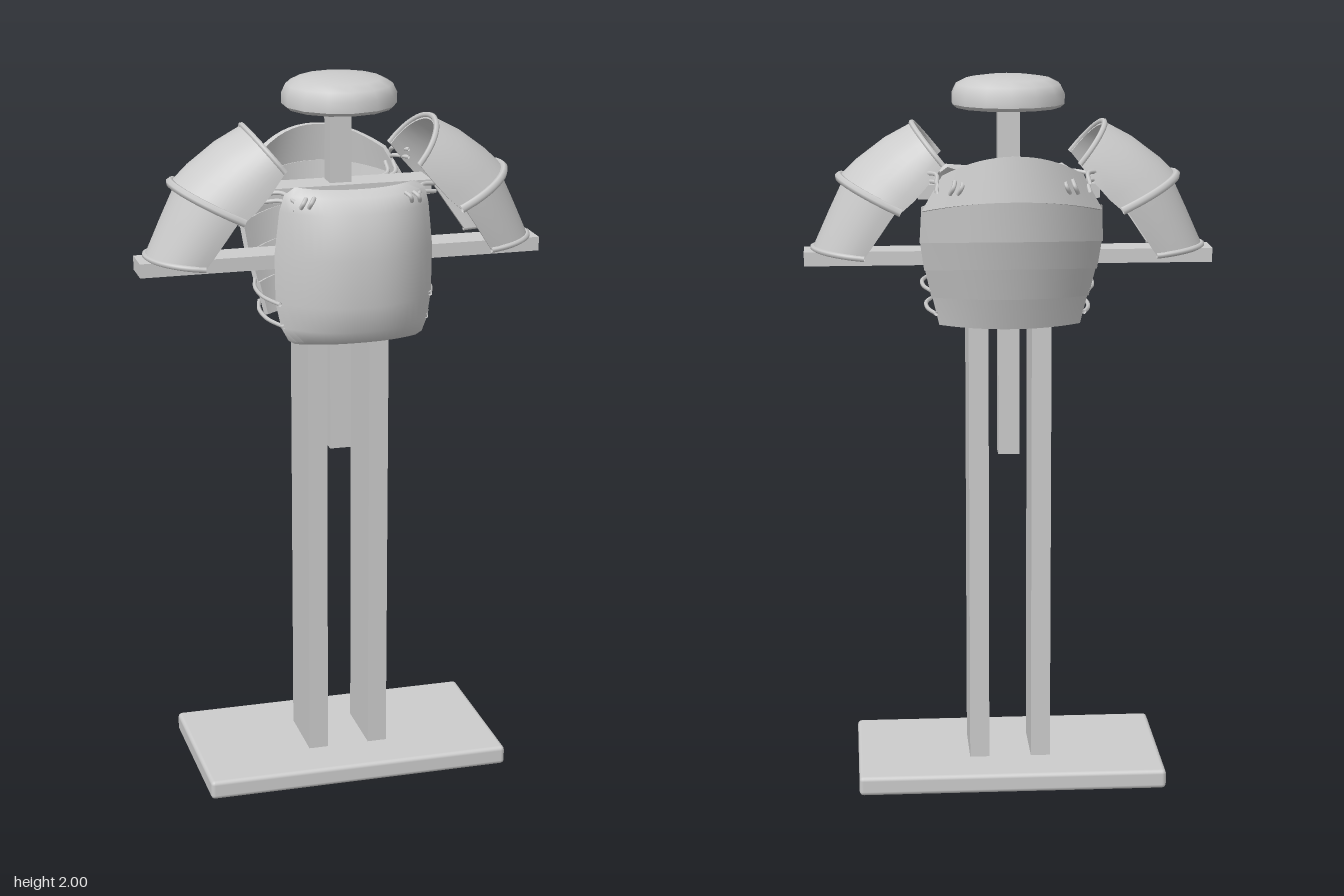
import * as THREE from 'three';
import { toCreasedNormals } from 'three/addons/utils/BufferGeometryUtils.js';
import { RoundedBoxGeometry } from 'three/addons/geometries/RoundedBoxGeometry.js';

const material = new THREE.MeshStandardMaterial({ color: 0xcccccc, side: THREE.DoubleSide });
const V = (x, y, z) => new THREE.Vector3(x, y, z);

function add(parent, name, geometry) {
  const mesh = new THREE.Mesh(geometry, material);
  mesh.name = name;
  parent.add(mesh);
  return mesh;
}

// Box given by its limits on each axis
function box(parent, name, x0, x1, y0, y1, z0, z1) {
  const mesh = add(parent, name, new THREE.BoxGeometry(x1 - x0, y1 - y0, z1 - z0));
  mesh.position.set((x0 + x1) / 2, (y0 + y1) / 2, (z0 + z1) / 2);
}

function cord(parent, name, points, r = 0.006) {
  const curve = new THREE.CatmullRomCurve3(points.map((p) => V(...p)));
  add(parent, name, new THREE.TubeGeometry(curve, points.length * 5, r, 6));
}

// Closed plate: the surface f(u, v) thickened inwards, with rim strips
function plate(f, nu, nv, thickness, crease = 0.7) {
  const pos = [], index = [], e = 0.002;
  const clamp = (t) => Math.min(1, Math.max(0, t));
  for (let side = 0; side < 2; side++)
    for (let j = 0; j <= nv; j++)
      for (let i = 0; i <= nu; i++) {
        const u = i / nu, v = j / nv, p = f(u, v);
        const du = f(clamp(u + e), v).sub(f(clamp(u - e), v));
        const dv = f(u, clamp(v + e)).sub(f(u, clamp(v - e)));
        p.addScaledVector(dv.cross(du).normalize(), -side * thickness);
        pos.push(p.x, p.y, p.z);
      }
  const id = (s, i, j) => s * (nu + 1) * (nv + 1) + j * (nu + 1) + i;
  const quad = (a, b, c, d) => index.push(a, b, c, a, c, d);
  for (let j = 0; j < nv; j++)
    for (let i = 0; i < nu; i++) {
      quad(id(0, i, j), id(0, i, j + 1), id(0, i + 1, j + 1), id(0, i + 1, j));
      quad(id(1, i, j), id(1, i + 1, j), id(1, i + 1, j + 1), id(1, i, j + 1));
    }
  for (let i = 0; i < nu; i++) {
    quad(id(0, i, 0), id(0, i + 1, 0), id(1, i + 1, 0), id(1, i, 0));
    quad(id(0, i, nv), id(1, i, nv), id(1, i + 1, nv), id(0, i + 1, nv));
  }
  for (let j = 0; j < nv; j++) {
    quad(id(0, 0, j), id(1, 0, j), id(1, 0, j + 1), id(0, 0, j + 1));
    quad(id(0, nu, j), id(0, nu, j + 1), id(1, nu, j + 1), id(1, nu, j));
  }
  const g = new THREE.BufferGeometry();
  g.setAttribute('position', new THREE.Float32BufferAttribute(pos, 3));
  g.setIndex(index);
  return toCreasedNormals(g, crease);
}

// Linear blend between the rows of a table
function rowAt(rows, v) {
  const s = v * (rows.length - 1), k = Math.min(rows.length - 2, Math.floor(s));
  return rows[k].map((a, i) => a + (rows[k + 1][i] - a) * (s - k));
}

// Curved body plate; rows hold edge y, centre y, half width, edge z, centre z
function bodySurface(rows, dir, power) {
  return (u, v) => {
    const [ye, yc, w, ze, zc] = rowAt(rows, v);
    const s = u * 2 - 1, k = 1 - Math.pow(Math.abs(s), power);
    return V(dir * s * w, ye + (yc - ye) * k, ze + (zc - ze) * k);
  };
}

// Arch rows hold crown x, y, leg x, y and half width in z
function archPoint(row, u) {
  const [cx, cy, lx, ly, w] = row, t = u * Math.PI, k = Math.sin(t);
  return V(lx + (cx - lx) * k, ly + (cy - ly) * k, 0.01 + w * Math.cos(t));
}

function archBead(parent, name, row, r) {
  const pts = Array.from({ length: 13 }, (_, i) => archPoint(row, i / 12));
  add(parent, name, new THREE.TubeGeometry(new THREE.CatmullRomCurve3(pts), 24, r, 6));
}

function makeStand() {
  const stand = new THREE.Group();
  stand.name = 'stand';
  const base = add(stand, 'base', new RoundedBoxGeometry(0.87, 0.055, 0.475, 2, 0.012));
  base.position.set(0, 0.0275, 0.0125);
  box(stand, 'leftPost', 0.06, 0.115, 0.05, 1.67, -0.08, 0.112);
  box(stand, 'rightPost', -0.115, -0.06, 0.05, 1.67, -0.08, 0.112);
  box(stand, 'neckPost', -0.03, 0.03, 0.94, 1.93, -0.03, 0.03);
  box(stand, 'armBar', -0.565, 0.565, 1.483, 1.522, -0.037, 0.06);
  box(stand, 'shoulderBar', -0.25, 0.25, 1.665, 1.705, -0.037, 0.06);
  // Rounded cap for a helmet
  const profile = [[0, 1.912], [0.145, 1.912], [0.157, 1.922], [0.157, 1.95],
    [0.145, 1.975], [0.115, 1.99], [0.06, 1.998], [0, 2]].map(([x, y]) => new THREE.Vector2(x, y));
  const cap = add(stand, 'headRest', toCreasedNormals(new THREE.LatheGeometry(profile, 14), 0.8));
  cap.position.z = 0.013;
  return stand;
}

function makeBreastplate() {
  const rows = [
    [1.735, 1.725, 0.165, 0.175, 0.2], [1.715, 1.71, 0.195, 0.175, 0.24],
    [1.67, 1.67, 0.207, 0.17, 0.268], [1.55, 1.55, 0.22, 0.166, 0.283],
    [1.42, 1.42, 0.218, 0.166, 0.283], [1.35, 1.35, 0.205, 0.175, 0.272],
    [1.315, 1.315, 0.187, 0.185, 0.25], [1.305, 1.305, 0.17, 0.185, 0.22]];
  return plate(bodySurface(rows, 1, 2.4), 20, 7, 0.018, 0.9);
}

// Overlapping horizontal bands down the back
function makeBackplate() {
  const back = new THREE.Group();
  back.name = 'backplate';
  const rows = [
    [1.75, 1.81, 0.19, -0.185, -0.268], [1.65, 1.69, 0.245, -0.15, -0.274],
    [1.56, 1.58, 0.25, -0.12, -0.25], [1.48, 1.5, 0.237, -0.095, -0.215],
    [1.4, 1.41, 0.217, -0.07, -0.175], [1.32, 1.32, 0.195, -0.055, -0.13]];
  for (let k = 0; k < rows.length - 1; k++) {
    const top = [...rows[k]], low = [...rows[k + 1]];
    if (k > 0) { top[0] += 0.012; top[1] += 0.012; }
    low[3] -= 0.008;
    low[4] -= 0.008;
    add(back, 'backBand' + (k + 1), plate(bodySurface([top, low], -1, 2.1), 16, 2, 0.014));
  }
  return back;
}

// Shoulder guard, upper arm guard and cords of the model's left side
function makeSide(name) {
  const side = new THREE.Group();
  side.name = name;
  const upper = [[0.265, 1.87, 0.185, 1.77, 0.145], [0.34, 1.83, 0.225, 1.72, 0.158],
    [0.42, 1.77, 0.265, 1.675, 0.16], [0.465, 1.725, 0.3, 1.645, 0.162]];
  const lower = [[0.455, 1.715, 0.31, 1.65, 0.15], [0.495, 1.63, 0.35, 1.59, 0.142],
    [0.54, 1.53, 0.4, 1.515, 0.128]];
  const guard = (part, rows, nv) =>
    add(side, part, plate((u, v) => archPoint(rowAt(rows, v), u), 18, nv, 0.012, 0.8));
  guard('shoulderGuard', upper, 3);
  guard('upperArmGuard', lower, 2);
  archBead(side, 'shoulderRim', upper[3], 0.012);
  archBead(side, 'collarRim', upper[0], 0.008);
  archBead(side, 'armRim', lower[2], 0.008);
  // Waist cords joining the breastplate and backplate
  for (const [y, x] of [[1.418, 0.235], [1.355, 0.224]])
    cord(side, 'waistCord', [[x - 0.025, y, 0.185], [x, y, 0.1], [x, y, 0], [x - 0.02, y, -0.085]]);
  // Shoulder ties at the front and back
  for (const d of [0, 0.022]) {
    cord(side, 'frontTie', [[0.17, 1.7 - d, 0.2], [0.195, 1.715 - d, 0.15], [0.24, 1.71 - d, 0.125]]);
    cord(side, 'backTie', [[0.205, 1.73 - d, -0.2], [0.205, 1.75 - d, -0.16], [0.24, 1.75 - d, -0.125]]);
    cord(side, 'innerTie', [[0.13 + d, 1.69, -0.055], [0.165 + d, 1.7, -0.08], [0.17 + d, 1.72, -0.12]]);
    // Short stitches on the plates
    cord(side, 'frontStitch', [[0.125 + d, 1.715, 0.225], [0.136 + d, 1.705, 0.24], [0.142 + d, 1.69, 0.232]]);
    cord(side, 'backStitch', [[0.135 + d, 1.74, -0.222], [0.14 + d, 1.725, -0.24], [0.15 + d, 1.705, -0.23]]);
  }
  return side;
}

export function createModel() {
  const model = new THREE.Group();
  model.name = 'armourStand';
  model.add(makeStand());
  add(model, 'breastplate', makeBreastplate());
  model.add(makeBackplate());
  const right = makeSide('rightArmour');
  right.scale.x = -1;
  model.add(makeSide('leftArmour'), right);
  return model;
}
